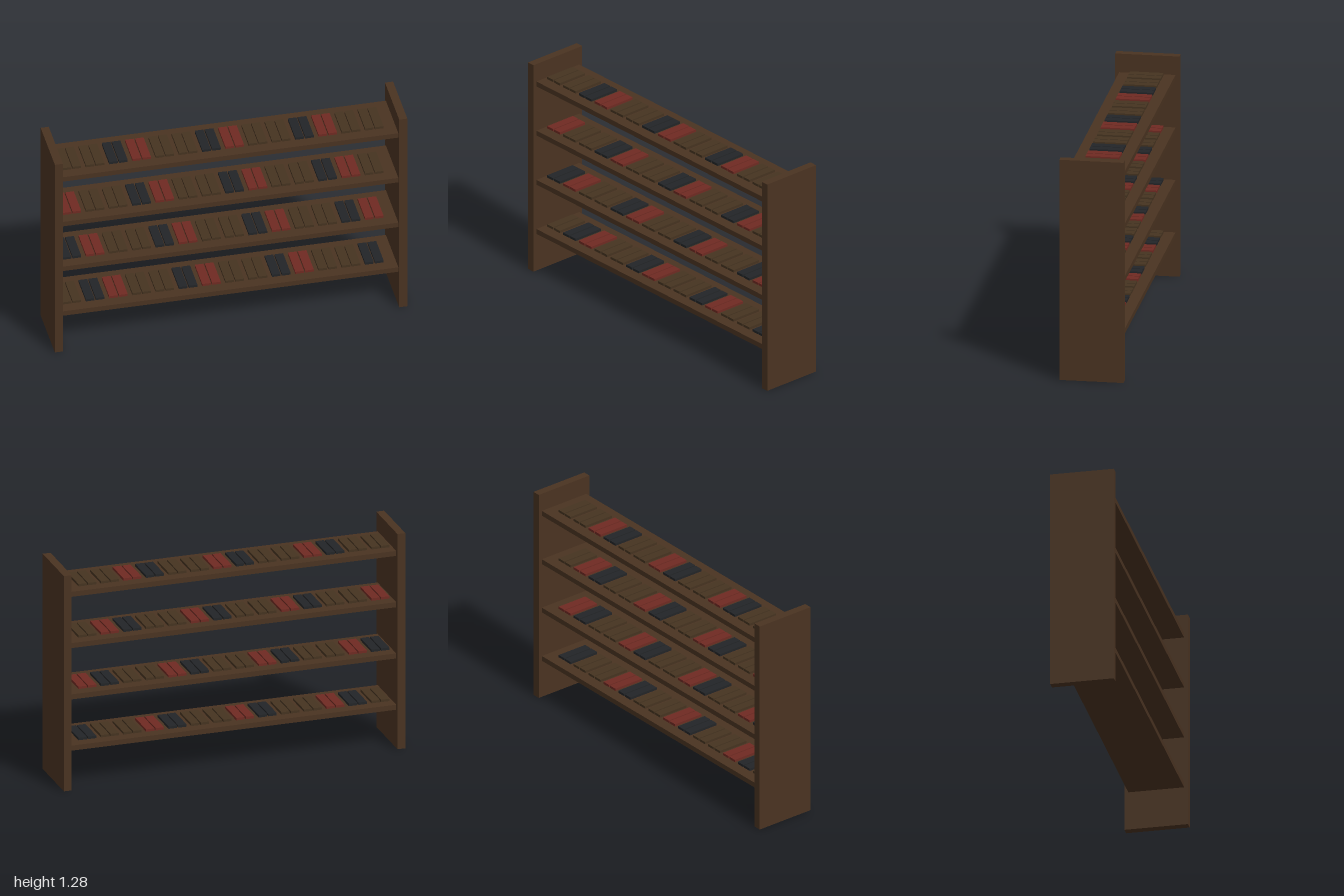
import * as THREE from 'three';

export function createModel() {
  const group = new THREE.Group();
  const material = (name, color) => {
    const m = new THREE.MeshStandardMaterial({ color });
    m.name = name;
    return m;
  };
  const wood = material('wood', 0x4a3321);
  const brown = material('brown', 0x453320);
  const black = material('black', 0x222427);
  const red = material('red', 0x6f2a22);

  const addBox = (name, mat, size, position) => {
    const mesh = new THREE.Mesh(new THREE.BoxGeometry(...size), mat);
    mesh.name = name;
    mesh.position.set(...position);
    group.add(mesh);
  };

  // Upright end panels
  const height = 1.28, panel = 0.046;
  for (const side of [-1, 1]) {
    addBox(side > 0 ? 'leftPanel' : 'rightPanel', wood,
      [panel, height, 0.36], [side * (1 - panel / 2), height / 2, 0]);
  }

  // Four shelves, each with fourteen pairs of flat slabs
  const cycle = [brown, black, red, brown];
  const slabHeight = 0.014;
  for (let row = 0; row < 4; row++) {
    const top = 0.257 + row * 0.305;
    addBox('shelf', wood, [2 - 2 * panel, 0.03, 0.316], [0, top - 0.015, 0]);
    for (let i = 0; i < 14; i++) {
      for (const k of [-1, 1]) {
        addBox('slab', cycle[(i + row) % 4], [0.049, slabHeight, 0.188],
          [-0.884 + i * 0.132 + k * 0.028, top + slabHeight / 2, 0]);
      }
    }
  }
  return group;
}
